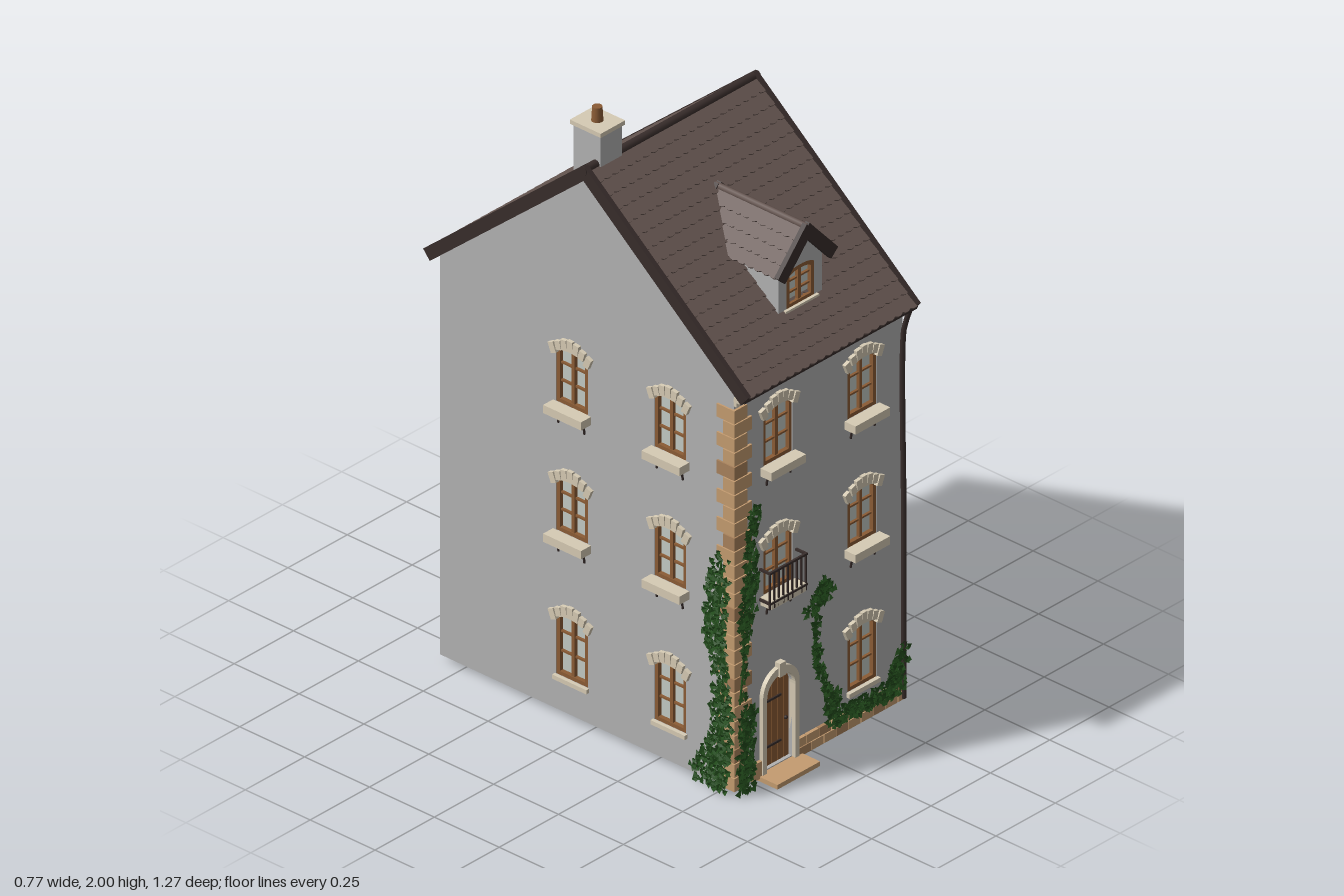
import * as THREE from 'three';
import { mergeGeometries } from 'three/addons/utils/BufferGeometryUtils.js';

const mat = (name, color, extra = {}) => new THREE.MeshStandardMaterial({ name, color, ...extra });

export function createModel() {
  const M = {
    wall: mat('plaster grey', 0xb2b2b2), roof: mat('roof tile', 0x655550), dark: mat('dark iron', 0x382d2b),
    cream: mat('cream stone', 0xd6cbb4), wood: mat('wood', 0x8b5c35), stone: mat('tan stone', 0xc49c70),
    rose: mat('brown stone', 0xa9825c), glass: mat('glass', 0xc3cbc4), ivy: mat('ivy green', 0x234d1c, { side: THREE.DoubleSide }),
    plank: mat('interior board', 0xb8946c),
  };
  let seed = 7;
  const rnd = () => (seed = (seed * 16807) % 2147483647) / 2147483647;
  const model = new THREE.Group();
  const group = (name, parent = model) => { const g = new THREE.Group(); g.name = name; parent.add(g); return g; };
  const add = (p, name, geo, m) => { const o = new THREE.Mesh(geo, m); o.name = name; p.add(o); return o; };
  const box = (p, name, m, x0, x1, y0, y1, z0, z1) => add(p, name,
    new THREE.BoxGeometry(x1 - x0, y1 - y0, z1 - z0).translate((x0 + x1) / 2, (y0 + y1) / 2, (z0 + z1) / 2), m);
  const rod = (p, name, m, pts, r) => add(p, name,
    new THREE.TubeGeometry(new THREE.CatmullRomCurve3(pts.map(a => new THREE.Vector3(...a))), pts.length * 6, r, 8), m);
  const extrude = (s, depth, z = 0) =>
    new THREE.ExtrudeGeometry(s, { depth, bevelEnabled: false, curveSegments: 10 }).translate(0, 0, z);

  // Opening with an arched top: w wide, h high, r is the rise of the arch
  function arch(x, y, w, h, r, Type = THREE.Shape) {
    const s = new Type(), a = w / 2;
    s.moveTo(x - a, y).lineTo(x + a, y).lineTo(x + a, y + h - r);
    s.absellipse(x, y + h - r, a, r, 0, Math.PI, false);
    s.closePath();
    return s;
  }
  function archRing(x, y, w, h, r, t) {
    const s = arch(x, y, w, h, r);
    s.holes.push(arch(x, y + t, w - 2 * t, h - 2 * t, Math.max(r - t * 0.3, 0.005), THREE.Path));
    return s;
  }

  // Walls: front and left have openings
  const W = 0.122, T = 0.03;
  const rows = [[0.135, 0.215, 0], [0.61, 0.19, 1], [1.035, 0.195, 1]];
  const frontWins = [], sideWins = [];
  rows.forEach(([y, h, sill], i) => {
    frontWins.push([0.2, y, h, sill]);
    if (i) frontWins.push([-0.155, y, h, sill]);
    sideWins.push([-0.072, y, h, sill], [0.307, y, h, sill]);
  });
  const walls = group('walls');
  const face = (name, pts, wins, x, z, turn) => {
    const g = group(name, walls), s = new THREE.Shape(pts.map(p => new THREE.Vector2(...p)));
    wins.forEach(([u, y, h]) => s.holes.push(arch(u, y, W, h, 0.022, THREE.Path)));
    if (name === 'frontWall') s.holes.push(arch(-0.155, 0.03, 0.12, 0.3, 0.06, THREE.Path));
    add(g, name + 'Plaster', extrude(s, T, -T), M.wall);
    wins.forEach(w => addWindow(g, ...w));
    g.position.set(x, 0, z);
    g.rotation.y = turn;
    return g;
  };
  const gable = [[-0.58, 0.02], [0.55, 0.02], [0.55, 1.345], [-0.02, 1.815], [-0.58, 1.345]];
  const front = face('frontWall', [[-0.34, 0.02], [0.37, 0.02], [0.37, 1.345], [-0.34, 1.345]], frontWins, 0, 0.551, 0);
  face('leftSideWall', gable, sideWins, -0.341, 0, -Math.PI / 2);
  face('rightSideWall', gable, [], 0.37 - T, 0, -Math.PI / 2);
  box(walls, 'backWall', M.wall, -0.34, 0.37, 0.02, 1.345, -0.58, -0.55);

  // Casement window with voussoirs, sill and brackets
  function casement(g, u, y, w, h, r, z) {
    add(g, 'pane', extrude(arch(u, y, w, h, r), 0.004, z - 0.006), M.glass);
    add(g, 'windowFrame', extrude(archRing(u, y, w, h, r, 0.012), 0.014, z), M.wood);
    box(g, 'mullion', M.wood, u - 0.006, u + 0.006, y + 0.01, y + h - 0.01, z, z + 0.011);
    for (const k of [0.36, 0.66]) box(g, 'glazingBar', M.wood, u - w / 2 + 0.01, u + w / 2 - 0.01, y + h * k - 0.003, y + h * k + 0.003, z, z + 0.008);
  }
  function addWindow(p, u, y, h, sill) {
    const g = group('window', p);
    casement(g, u, y, W, h, 0.022, -0.016);
    for (let i = -3; i <= 3; i++) {
      const key = i === 0 ? 0.036 : 0.028 + (Math.abs(i) % 2) * 0.006;
      const v = add(g, 'voussoir', new THREE.BoxGeometry(0.021, key, 0.016), M.cream);
      v.position.set(u + i * 0.0225, y + h + 0.011 - i * i * 0.003, 0.004);
      v.rotation.z = -i * 0.13;
    }
    if (sill) {
      box(g, 'sill', M.cream, u - 0.073, u + 0.073, y - 0.027, y, -0.015, 0.042);
      for (const s of [-1, 1]) rod(g, 'sillBracket', M.dark,
        [[u + s * 0.05, y - 0.065, 0.002], [u + s * 0.05, y - 0.042, 0.008], [u + s * 0.05, y - 0.027, 0.032]], 0.0035);
    } else box(g, 'sill', M.cream, u - 0.066, u + 0.066, y - 0.014, y, -0.015, 0.012);
  }

  // Balcony rail
  const rail = group('balconyRail', front);
  for (const y of [0.6, 0.7]) {
    box(rail, 'railBar', M.dark, -0.235, -0.075, y, y + 0.007, 0.036, 0.043);
    for (const x of [-0.235, -0.082]) box(rail, 'railReturn', M.dark, x, x + 0.007, y, y + 0.007, 0, 0.04);
  }
  for (let i = 0; i < 9; i++) box(rail, 'baluster', M.dark, -0.235 + i * 0.019, -0.23 + i * 0.019, 0.585, 0.705, 0.037, 0.042);

  // Door with planks, straps and stone surround
  const door = group('door', front);
  add(door, 'doorBacking', extrude(arch(-0.155, 0.03, 0.12, 0.3, 0.06), 0.006, -0.028), M.dark);
  for (let i = 0; i < 5; i++) {
    const c = -0.203 + i * 0.024, top = 0.27 + Math.sqrt(0.0036 - (Math.abs(c + 0.155) + 0.005) ** 2);
    box(door, 'doorPlank', M.wood, c - 0.011, c + 0.011, 0.03, top, -0.024, -0.012);
  }
  for (const y of [0.09, 0.24]) box(door, 'hingeStrap', M.dark, -0.212, -0.13, y, y + 0.007, -0.012, -0.008);
  add(door, 'doorKnob', new THREE.SphereGeometry(0.006, 10, 8).translate(-0.112, 0.16, -0.008), M.dark);
  const surround = arch(-0.155, 0.02, 0.154, 0.335, 0.077);
  surround.holes.push(arch(-0.155, 0.021, 0.12, 0.309, 0.06, THREE.Path));
  add(door, 'doorSurround', extrude(surround, 0.024, -0.01), M.cream);
  box(door, 'keystone', M.cream, -0.167, -0.143, 0.325, 0.37, 0, 0.02);
  box(model, 'doorStep', M.stone, -0.243, -0.063, 0.012, 0.027, 0.545, 0.63);

  // Corner quoins, plinth stones and cornice
  const masonry = group('masonry');
  for (let i = 0; i < 27; i++) {
    const y = 0.02 + i * 0.0467, l = i % 2;
    box(masonry, 'quoin', i % 5 === 2 ? M.rose : M.stone, -0.347, l ? -0.272 : -0.292, y, y + 0.043, l ? 0.515 : 0.49, 0.559);
  }
  for (let r = 0; r < 2; r++) for (let i = 0; i < 9; i++) {
    const x = -0.075 + i * 0.052 - r * 0.02;
    box(masonry, 'plinthStone', (i + r) % 3 ? M.stone : M.rose, Math.max(x, -0.077), Math.min(x + 0.049, 0.37), 0.02 + r * 0.031, 0.048 + r * 0.031, 0.54, 0.562);
  }
  box(masonry, 'plinthStone', M.stone, -0.272, -0.233, 0.02, 0.075, 0.54, 0.562);
  box(masonry, 'cornice', M.cream, -0.34, 0.37, 1.288, 1.302, 0.545, 0.562);
  box(masonry, 'corniceTop', M.cream, -0.34, 0.37, 1.302, 1.318, 0.545, 0.572);

  // Scalloped tile slope, hinged on its eave and facing +z
  function slope(name, w, run, rise, courses, x, y, z, turn, trim) {
    const holder = group(name), g = group('pitch', holder), len = Math.hypot(run, rise), step = len / courses;
    const n = Math.round(w / 0.032), tw = w / n, parts = [], s = new THREE.Shape();
    s.moveTo(-w / 2, 0).lineTo(w / 2, 0).lineTo(w / 2, -step * 1.1);
    for (let i = 1; i <= n; i++) {
      const e = w / 2 - i * tw;
      s.quadraticCurveTo(e + tw / 2, -step * 1.1 - 0.012, e, -step * 1.1);
    }
    s.closePath();
    const course = new THREE.ExtrudeGeometry(s, { depth: 0.006, bevelEnabled: false, curveSegments: 4 }).rotateX(-0.11);
    for (let i = 0; i < courses; i++) parts.push(course.clone().translate(0, (i + 1) * step, 0));
    add(g, 'tiles', mergeGeometries(parts), M.roof);
    box(g, 'roofDeck', M.dark, -w / 2, w / 2, 0, len, -0.02, 0);
    for (const k of [-1, 1]) if (trim) box(g, 'verge', M.dark, k * w / 2 - 0.008, k * w / 2 + 0.008, -0.006, len + 0.006, -0.026, 0.014);
    g.rotation.x = Math.atan2(rise, run) - Math.PI / 2;
    holder.position.set(x, y, z);
    holder.rotation.y = turn;
  }
  slope('frontRoof', 0.715, 0.62, 0.51, 17, 0.0165, 1.333, 0.598, 0, true);
  slope('backRoof', 0.715, 0.605, 0.51, 17, 0.0165, 1.333, -0.625, Math.PI, true);
  add(model, 'ridgeRoll', new THREE.CylinderGeometry(0.014, 0.014, 0.736, 12).rotateZ(Math.PI / 2).translate(0.0165, 1.842, -0.021), M.dark);
  rod(model, 'gutter', M.dark, [[-0.35, 1.325, 0.59], [0.38, 1.325, 0.59]], 0.012);
  rod(model, 'downpipe', M.dark, [[0.364, 1.32, 0.588], [0.364, 1.285, 0.575], [0.364, 1.24, 0.562], [0.364, 0.6, 0.562], [0.364, 0.025, 0.562]], 0.008);

  // Dormer
  const dormer = group('dormer'), cx = 0.0225;
  const body = new THREE.Shape([[-0.092, 1.42], [0.092, 1.42], [0.092, 1.575], [0, 1.68], [-0.092, 1.575]].map(([x, y]) => new THREE.Vector2(x + cx, y)));
  body.holes.push(arch(cx, 1.445, 0.116, 0.125, 0.016, THREE.Path));
  add(dormer, 'dormerBody', extrude(body, 0.32, 0.155), M.wall);
  casement(dormer, cx, 1.445, 0.116, 0.125, 0.016, 0.461);
  box(dormer, 'dormerSill', M.cream, cx - 0.07, cx + 0.07, 1.432, 1.446, 0.46, 0.485);
  box(dormer, 'dormerApron', M.dark, cx - 0.098, cx + 0.098, 1.418, 1.43, 0.46, 0.492);
  slope('dormerRoofLeft', 0.34, 0.112, 0.122, 4, cx + 0.112, 1.58, 0.328, Math.PI / 2, true);
  slope('dormerRoofRight', 0.34, 0.112, 0.122, 4, cx - 0.112, 1.58, 0.328, -Math.PI / 2, true);
  add(dormer, 'dormerRidge', new THREE.CylinderGeometry(0.011, 0.011, 0.355, 10).rotateX(Math.PI / 2).translate(cx, 1.703, 0.325), M.roof);

  // Chimney
  const chimney = group('chimney');
  box(chimney, 'stack', M.wall, -0.296, -0.206, 1.74, 1.94, -0.108, -0.003);
  box(chimney, 'cap', M.cream, -0.303, -0.2, 1.94, 1.954, -0.115, 0.004);
  add(chimney, 'pot', new THREE.CylinderGeometry(0.015, 0.018, 0.05, 14).translate(-0.252, 1.975, -0.056), M.wood);

  // Interior seen through the open base
  const inside = group('interior');
  box(inside, 'hallFloor', M.plank, -0.31, 0.34, 0.025, 0.045, 0.12, 0.52);
  box(inside, 'partition', M.plank, -0.31, 0.34, 0.03, 0.75, 0.1, 0.12);
  box(inside, 'stairBlock', M.plank, -0.3, -0.05, 0.03, 0.75, -0.49, 0.02);
  box(inside, 'ceiling', M.wall, -0.31, 0.34, 1.31, 1.33, -0.55, 0.52);

  // Ivy: folded leaves scattered along runs [u0, y0, u1, y1, spread, count]
  function ivy(name, runs, place) {
    const pos = [], g = group(name);
    for (const [u0, y0, u1, y1, spread, count] of runs) {
      rod(g, 'stem', M.ivy, [place(u0, y0, 0.004), place((u0 + u1) / 2 + 0.006, (y0 + y1) / 2, 0.006), place(u1, y1, 0.004)], 0.003);
      for (let i = 0; i < count; i++) {
        const t = rnd(), a = rnd() * 6.28, d = spread * Math.sqrt(rnd()), q = rnd() * 6.28, r = 0.008 + rnd() * 0.006;
        const u = u0 + (u1 - u0) * t + d * Math.cos(a), y = Math.max(y0 + (y1 - y0) * t + d * Math.sin(a), 0.012), z = 0.006 + rnd() * 0.016;
        const c = [0, 1, 2, 3].map(k => place(u + Math.cos(q + k * 1.57) * r * (k % 2 ? 0.7 : 1),
          Math.max(y + Math.sin(q + k * 1.57) * r, 0), z + (k % 2 ? 0.004 : -0.003)));
        pos.push(...c[0], ...c[1], ...c[2], ...c[0], ...c[2], ...c[3]);
      }
    }
    const geo = new THREE.BufferGeometry();
    geo.setAttribute('position', new THREE.Float32BufferAttribute(pos, 3));
    geo.computeVertexNormals();
    add(g, 'leaves', geo, M.ivy);
  }
  ivy('frontIvy', [
    [-0.31, 0.02, -0.3, 0.27, 0.035, 260], [-0.325, 0.3, -0.31, 0.56, 0.014, 50], [-0.31, 0.55, -0.28, 0.78, 0.03, 180],
    [-0.3, 0.78, -0.265, 0.93, 0.024, 70], [0.06, 0.09, 0.34, 0.08, 0.03, 260], [0.29, 0.06, 0.355, 0.19, 0.03, 150],
    [0.06, 0.1, 0.05, 0.19, 0.03, 80], [0.04, 0.18, -0.01, 0.32, 0.016, 60], [-0.01, 0.32, -0.01, 0.48, 0.014, 50],
    [-0.045, 0.49, 0.04, 0.53, 0.028, 80], [0, 0.5, 0.02, 0.56, 0.018, 35],
  ], (u, y, d) => [u, y, 0.556 + d]);
  ivy('sideIvy', [
    [0.5, 0.02, 0.52, 0.3, 0.045, 240], [0.44, 0.03, 0.5, 0.15, 0.05, 120], [0.52, 0.3, 0.5, 0.55, 0.035, 150],
    [0.49, 0.5, 0.51, 0.76, 0.045, 220],
  ], (u, y, d) => [-0.346 - d * 0.8, y, u]);

  return model;
}
